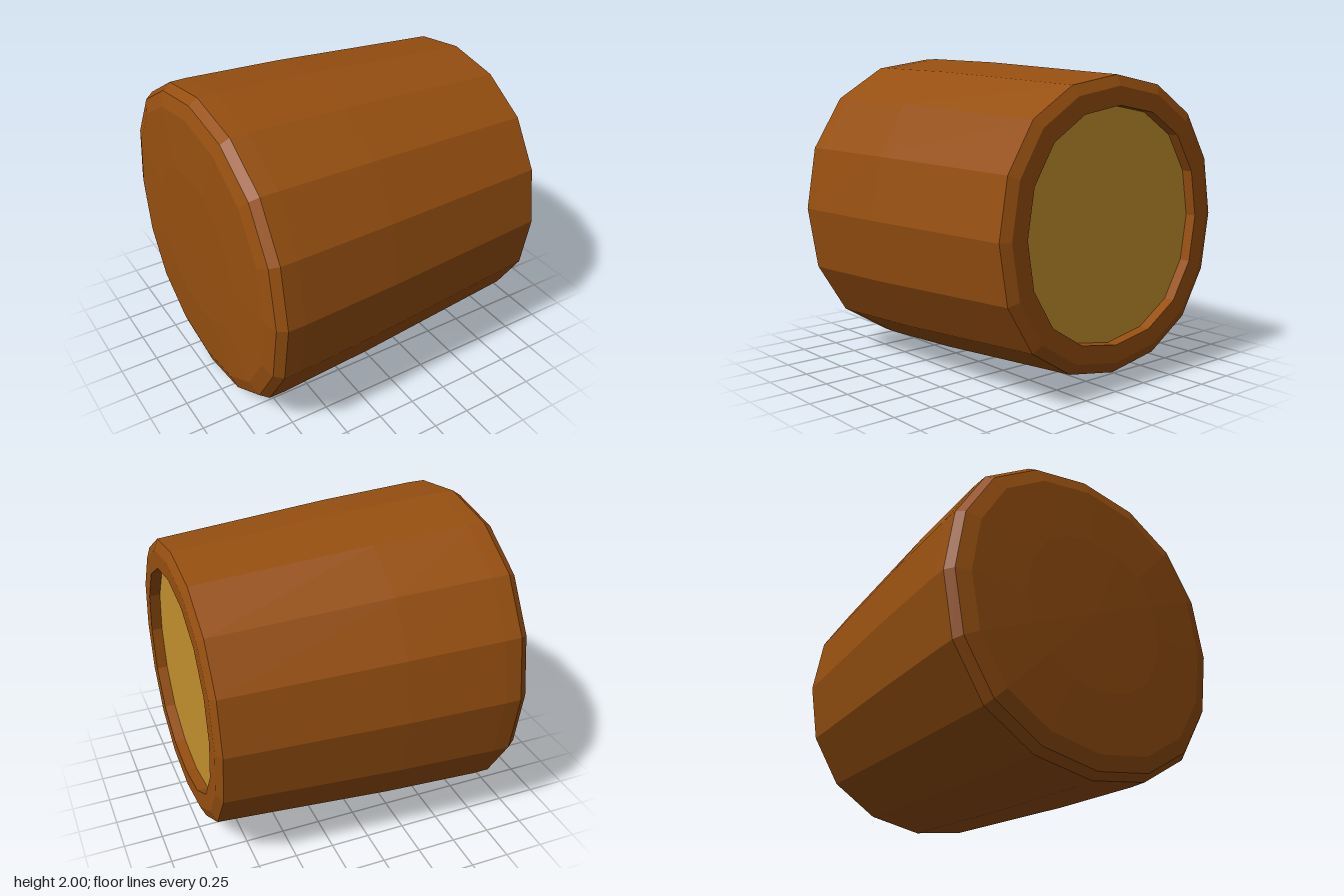
import * as THREE from 'three';

const SIDES = 16;

// Sixteen-sided turned shape lying along x, its section slightly squarer than a circle.
// The profile is a list of [radius, x], running from the -x end to the +x end.
function turned(name, profile, color) {
  const points = profile.map(([r, x]) => new THREE.Vector2(r, x));
  const lathe = new THREE.LatheGeometry(points, SIDES);
  const pos = lathe.attributes.position;
  for (let i = 0; i < pos.count; i++) {
    const x = pos.getX(i), z = pos.getZ(i);
    const angle = Math.atan2(z, x);
    const r = Math.hypot(x, z) * (1 + 0.0324 * Math.sin(2 * angle) ** 2);
    const a = angle + 0.015 * Math.sin(4 * angle);
    pos.setXYZ(i, r * Math.cos(a), pos.getY(i), r * Math.sin(a));
  }
  const geometry = lathe.toNonIndexed();
  geometry.rotateZ(-Math.PI / 2);
  geometry.computeVertexNormals();
  const mesh = new THREE.Mesh(geometry, new THREE.MeshStandardMaterial({ color, flatShading: true }));
  mesh.name = name;
  mesh.position.y = 1;
  return mesh;
}

export function createModel() {
  const group = new THREE.Group();
  group.name = 'taperedBarrel';

  // Shell: shallow domed back, rounded shoulder, bowed taper, bevelled rim and recess wall
  group.add(turned('shell', [
    [0, -1], [0.5, -0.993], [0.87, -0.975], [0.96, -0.945], [0.998, -0.89],
    [0.998, -0.78], [0.967, -0.15], [0.885, 0.97],
    [0.82, 1], [0.709, 1], [0.709, 0.93],
  ], 0x964f10));

  // Pale face set into the open end
  group.add(turned('endFace', [[0.709, 0.93], [0, 0.93]], 0xc4922e));

  return group;
}
